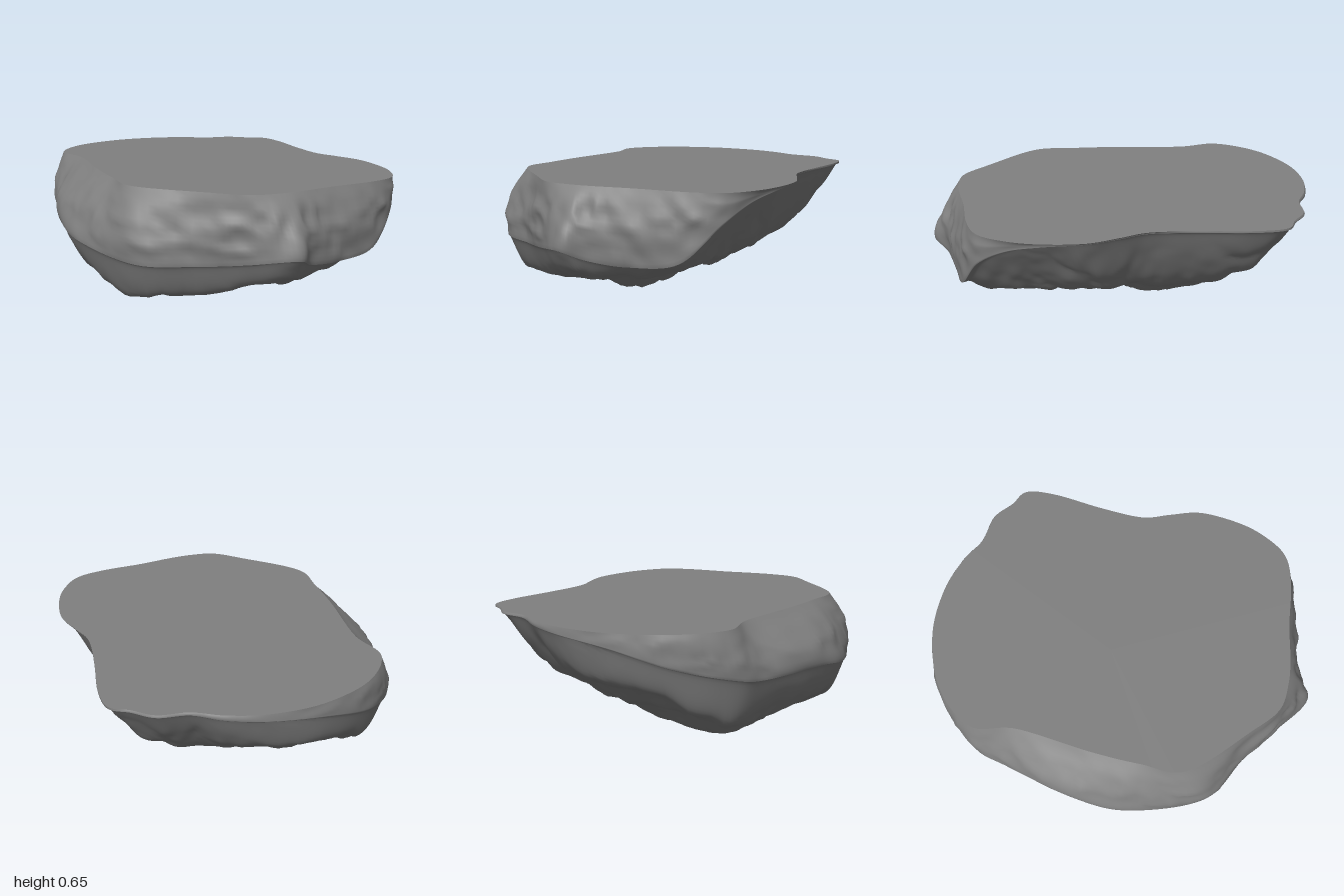
import * as THREE from 'three';

const SEG = 220, SIDE_ROWS = 16, UNDER_ROWS = 70;
const CENTRE = new THREE.Vector2(-0.1, -0.05);
const SLOPE_AXIS = new THREE.Vector2(0.95, -0.3);
const topHeight = (x) => 0.647 - 0.011 * x;

// Outline stations: widest x, widest z, widest height, rim x, rim z
const STATIONS = [
  [-0.10, -1.00, 0.61, -0.10, -0.995], [0.10, -0.98, 0.62, 0.10, -0.975],
  [0.25, -0.93, 0.63, 0.25, -0.925], [0.40, -0.93, 0.63, 0.40, -0.925],
  [0.51, -0.87, 0.63, 0.51, -0.865], [0.61, -0.82, 0.63, 0.61, -0.82],
  [0.65, -0.66, 0.63, 0.65, -0.66], [0.66, -0.40, 0.63, 0.66, -0.40],
  [0.68, -0.17, 0.63, 0.685, -0.17], [0.75, -0.03, 0.63, 0.755, -0.03],
  [0.82, 0.12, 0.63, 0.825, 0.12], [0.835, 0.32, 0.62, 0.84, 0.32],
  [0.80, 0.49, 0.58, 0.815, 0.48], [0.74, 0.64, 0.49, 0.74, 0.63],
  [0.59, 0.75, 0.32, 0.59, 0.71], [0.37, 0.83, 0.29, 0.36, 0.77],
  [0.19, 0.91, 0.31, 0.18, 0.83], [0.09, 1.00, 0.36, 0.05, 0.86],
  [-0.12, 0.89, 0.33, -0.10, 0.86], [-0.32, 0.78, 0.31, -0.26, 0.76],
  [-0.59, 0.66, 0.31, -0.56, 0.53], [-0.79, 0.32, 0.35, -0.61, 0.30],
  [-0.84, 0.04, 0.39, -0.64, 0.04], [-0.81, -0.36, 0.40, -0.66, -0.34],
  [-0.78, -0.56, 0.43, -0.73, -0.56], [-0.61, -0.80, 0.50, -0.60, -0.79],
  [-0.36, -0.95, 0.58, -0.35, -0.945],
];

// Underside height along x and along z
const UNDER_X = [[-0.85, 0.4], [-0.8, 0.28], [-0.7, 0.16], [-0.6, 0.09], [-0.5, 0.04], [-0.36, 0.03],
  [-0.25, 0], [-0.18, 0.02], [-0.1, 0.09], [0, 0.13], [0.1, 0.14], [0.17, 0.08], [0.25, 0.16],
  [0.4, 0.22], [0.58, 0.27], [0.65, 0.34], [0.75, 0.44], [0.85, 0.58]];
const UNDER_Z = [[-1, 0.55], [-0.98, 0.47], [-0.92, 0.39], [-0.8, 0.34], [-0.7, 0.26], [-0.6, 0.23],
  [-0.5, 0.13], [-0.4, 0.07], [-0.25, 0], [-0.1, 0.06], [0, 0.09], [0.1, 0.1], [0.2, 0.06],
  [0.3, 0.04], [0.5, 0.09], [0.7, 0.14], [0.9, 0.23], [1, 0.36]];

function profile(table, v) {
  if (v <= table[0][0]) return table[0][1];
  for (let i = 1; i < table.length; i++) {
    const [a, ha] = table[i - 1], [b, hb] = table[i];
    if (v <= b) return ha + (hb - ha) * (v - a) / (b - a);
  }
  return table[table.length - 1][1];
}

// Seeded smooth noise in -1..1
function hash(x, y, z) {
  const s = Math.sin(x * 127.1 + y * 311.7 + z * 74.7) * 43758.5453;
  return (s - Math.floor(s)) * 2 - 1;
}
function noise(x, y, z) {
  const X = Math.floor(x), Y = Math.floor(y), Z = Math.floor(z);
  const [u, v, w] = [x - X, y - Y, z - Z].map((f) => f * f * (3 - 2 * f));
  const mix = THREE.MathUtils.lerp;
  const row = (j, k) => mix(hash(X, Y + j, Z + k), hash(X + 1, Y + j, Z + k), u);
  return mix(mix(row(0, 0), row(1, 0), v), mix(row(0, 1), row(1, 1), v), w);
}
// Broad lumps plus sharp ridges
function rough(x, y, z) {
  const warp = noise(x * 3, y * 3, z * 3) * 0.15;
  const lump = noise(x * 5 + 7, y * 5, z * 5);
  const ridge = 0.5 - Math.abs(noise((x + warp) * 7, y * 9 + 3, (z - warp) * 7));
  return lump * 0.5 + ridge * 0.6 + noise(x * 19, y * 19, z * 19) * 0.2;
}

// Fraction of the radius where the wall begins: a long slope on the left, steep elsewhere
function wallStart(point) {
  const d = new THREE.Vector2(point.x, point.z).sub(CENTRE).normalize().dot(SLOPE_AXIS);
  return THREE.MathUtils.lerp(0.83, 0.53, THREE.MathUtils.smoothstep(d, 0, 0.85));
}

function underHeight(x, z, t, edge, start) {
  // Steps follow the two height profiles and lift towards the outline
  const p = (a, b, n) => Math.pow(Math.pow(a, n) + Math.pow(b, n), 1 / n);
  const wx = x + 0.02 * noise(z * 4, 2, x * 3), wz = z + 0.03 * noise(x * 4, 9, z * 3);
  const base = p(profile(UNDER_X, wx), profile(UNDER_Z, wz), 3);
  const lift = edge * Math.pow(Math.max(0, (t - start) / (1 - start)), 1.2);
  const h = p(base, lift, 5) + 0.04 * rough(x, base, z) * Math.min(1, (1 - t) * 8);
  return Math.max(0.002, THREE.MathUtils.lerp(Math.min(h, edge), edge, Math.pow(t, 60)));
}

function meshFrom(name, positions, indices, material) {
  const geometry = new THREE.BufferGeometry();
  geometry.setAttribute('position', new THREE.Float32BufferAttribute(positions, 3));
  geometry.setIndex(indices);
  geometry.computeVertexNormals();
  const mesh = new THREE.Mesh(geometry, material);
  mesh.name = name;
  return mesh;
}

export function createModel() {
  const group = new THREE.Group();
  group.name = 'flatToppedRock';
  const material = new THREE.MeshStandardMaterial({ color: 0x808080 });

  const curve = (toPoint) => new THREE.CatmullRomCurve3(STATIONS.map(toPoint), true, 'catmullrom', 0.5);
  const wideCurve = curve(([x, z, y]) => new THREE.Vector3(x, y, z));
  const rimCurve = curve(([, , , x, z]) => new THREE.Vector3(x, topHeight(x), z));
  const wide = [], rim = [];
  for (let i = 0; i < SEG; i++) {
    wide.push(wideCurve.getPoint(i / SEG));
    rim.push(rimCurve.getPoint(i / SEG));
  }
  const starts = wide.map(wallStart);

  // Flat top face
  const top = [CENTRE.x, topHeight(CENTRE.x), CENTRE.y], topIndex = [];
  rim.forEach((p, i) => {
    top.push(p.x, p.y, p.z);
    topIndex.push(0, 1 + (i + 1) % SEG, 1 + i);
  });
  group.add(meshFrom('flatTop', top, topIndex, material));

  // Rocky body: rings from the rim out to the widest line, then inwards underneath
  const body = [], bodyIndex = [];
  for (let r = 0; r <= SIDE_ROWS; r++) {
    const s = r / SIDE_ROWS;
    for (let i = 0; i < SEG; i++) {
      const a = rim[i], b = wide[i];
      const out = Math.sin(s * Math.PI / 2);
      const y = THREE.MathUtils.lerp(a.y, b.y, s);
      const x = THREE.MathUtils.lerp(a.x, b.x, out), z = THREE.MathUtils.lerp(a.z, b.z, out);
      const k = 1 + 0.16 * a.distanceTo(b) * Math.sin(s * Math.PI) * rough(x, y, z);
      body.push(CENTRE.x + (x - CENTRE.x) * k, y, CENTRE.y + (z - CENTRE.y) * k);
    }
  }
  for (let r = 1; r <= UNDER_ROWS; r++) {
    const t = 1 - Math.pow(r / UNDER_ROWS, 1.3);
    for (let i = 0; i < SEG; i++) {
      const x = THREE.MathUtils.lerp(CENTRE.x, wide[i].x, t);
      const z = THREE.MathUtils.lerp(CENTRE.y, wide[i].z, t);
      body.push(x, underHeight(x, z, t, wide[i].y, starts[i]), z);
    }
  }
  for (let r = 0; r < SIDE_ROWS + UNDER_ROWS; r++) {
    for (let i = 0; i < SEG; i++) {
      const j = (i + 1) % SEG;
      const a = r * SEG + i, b = r * SEG + j, c = a + SEG, d = b + SEG;
      bodyIndex.push(a, b, c, b, d, c);
    }
  }
  group.add(meshFrom('rockBody', body, bodyIndex, material));
  return group;
}
